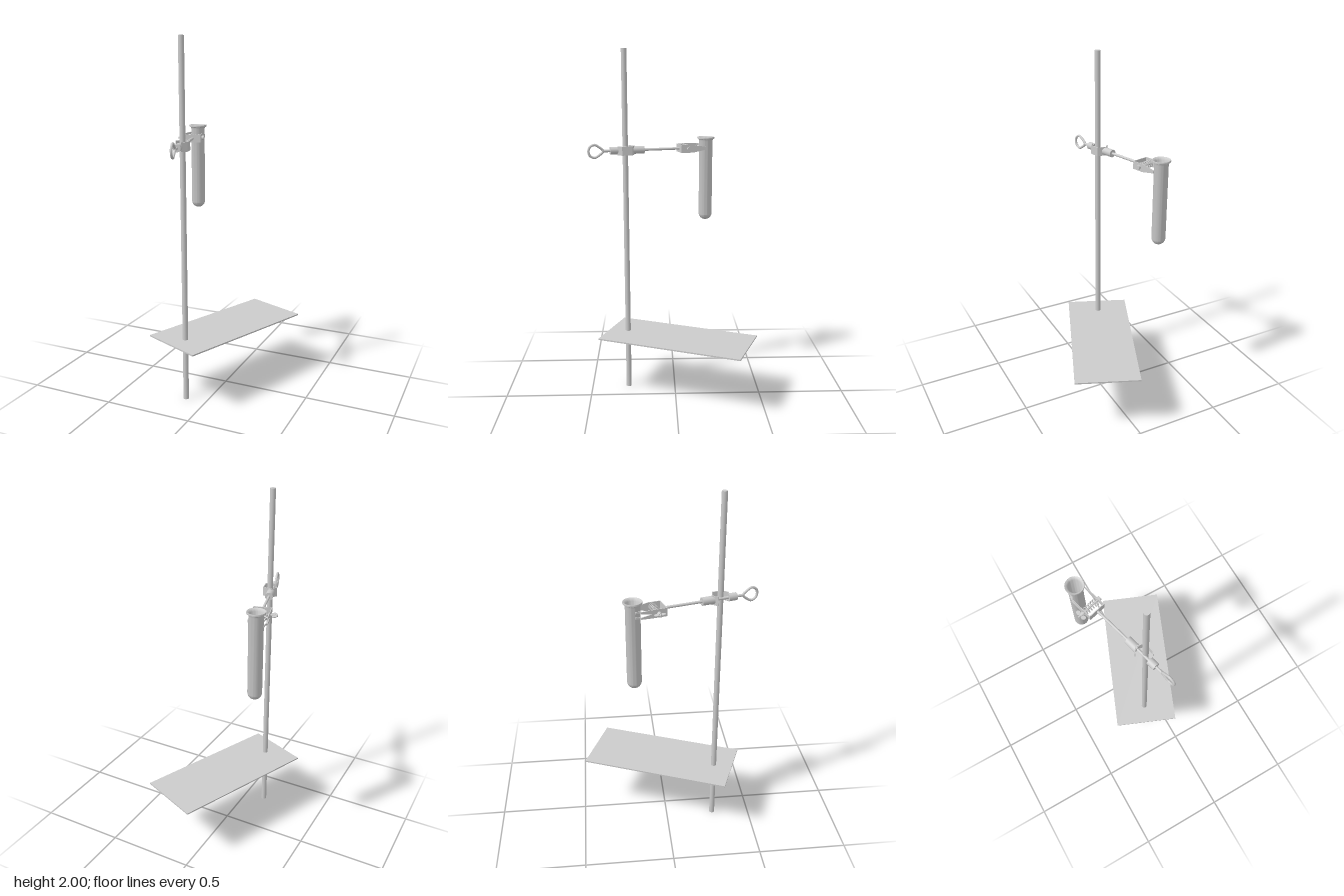
import * as THREE from 'three';
import { toCreasedNormals } from 'three/addons/utils/BufferGeometryUtils.js';

const material = new THREE.MeshStandardMaterial({ color: 0xcccccc, side: THREE.DoubleSide });

function add(parent, name, geometry, x = 0, y = 0, z = 0) {
  const mesh = new THREE.Mesh(geometry, material);
  mesh.name = name;
  mesh.position.set(x, y, z);
  parent.add(mesh);
  return mesh;
}

const v2 = (list) => list.map(([x, y]) => new THREE.Vector2(x, y));

// Cylinder lying along z between two stations
function rodZ(parent, name, radius, z0, z1, sides = 20) {
  const g = new THREE.CylinderGeometry(radius, radius, Math.abs(z1 - z0), sides).rotateX(Math.PI / 2);
  return add(parent, name, g, 0, 0, (z0 + z1) / 2);
}

// Bent metal strip: plan path [x, z] given a thickness and a height
function strip(path, thickness, height) {
  const pts = v2(path);
  const normals = pts.map((p, i) => {
    const a = pts[Math.max(i - 1, 0)], b = pts[Math.min(i + 1, pts.length - 1)];
    return new THREE.Vector2(a.y - b.y, b.x - a.x).normalize().multiplyScalar(thickness / 2);
  });
  const outline = [
    ...pts.map((p, i) => p.clone().add(normals[i])),
    ...pts.map((p, i) => p.clone().sub(normals[i])).reverse(),
  ];
  return new THREE.ExtrudeGeometry(new THREE.Shape(outline), { depth: height, bevelEnabled: false })
    .translate(0, 0, -height / 2).rotateX(Math.PI / 2);
}

// Flat jaw: side profile [reach, y] given a thickness along x
function jawPlate(profile, thickness) {
  return new THREE.ExtrudeGeometry(new THREE.Shape(v2(profile)), { depth: thickness, bevelEnabled: false })
    .translate(0, 0, -thickness / 2).rotateY(Math.PI / 2);
}

function buildBossHead(arm) {
  const boss = new THREE.Group();
  boss.name = 'bossHead';
  rodZ(boss, 'frontCollar', 0.021, 0.042, 0.088);
  rodZ(boss, 'rearCollar', 0.022, -0.109, -0.041);
  const path = [[-0.03, -0.028], [-0.002, -0.052], [0.044, -0.03], [0.041, 0.027], [0.013, 0.047]];
  add(boss, 'hookBracket', strip(path, 0.005, 0.05));
  arm.add(boss);
}

function buildPullRing(arm) {
  const pts = [[0, 0.128], [0.022, 0.15], [0.036, 0.178], [0.024, 0.203], [0, 0.211],
    [-0.024, 0.203], [-0.036, 0.178], [-0.022, 0.15]].map(([y, z]) => new THREE.Vector3(0, y, z));
  const curve = new THREE.CatmullRomCurve3(pts, true);
  add(arm, 'pullRing', new THREE.TubeGeometry(curve, 64, 0.007, 10, true));
}

function buildJaws(arm) {
  const jaws = new THREE.Group();
  jaws.name = 'jaws';
  add(jaws, 'backPlate', new THREE.BoxGeometry(0.098, 0.045, 0.004), -0.004, 0, -0.322);
  // Plain jaw on one side, forked jaw on the other
  const plain = [[0.32, -0.0225], [0.39, -0.0225], [0.47, -0.008], [0.47, 0.008], [0.39, 0.0225], [0.32, 0.0225]];
  const forked = [[0.32, -0.0225], [0.39, -0.0225], [0.458, -0.02], [0.458, -0.01], [0.395, 0],
    [0.458, 0.01], [0.458, 0.02], [0.39, 0.0225], [0.32, 0.0225]];
  add(jaws, 'plainJaw', jawPlate(plain, 0.004), 0.043);
  add(jaws, 'forkedJaw', jawPlate(forked, 0.004), -0.052);
  // Fingertips curling against the tube
  const tip = [[-0.052, -0.44], [-0.05, -0.452], [-0.042, -0.462], [-0.041, -0.485]];
  for (const y of [-0.015, 0.015]) add(jaws, 'forkTip', strip(tip, 0.004, 0.01), 0, y);

  // Tightening screw with its spring
  const zs = -0.366;
  add(jaws, 'screw', new THREE.CylinderGeometry(0.006, 0.006, 0.145, 16).rotateZ(Math.PI / 2), -0.018, 0, zs);
  add(jaws, 'screwHead', new THREE.CylinderGeometry(0.013, 0.013, 0.012, 16).rotateZ(Math.PI / 2), 0.052, 0, zs);
  const coil = [];
  const turns = 6;
  for (let i = 0; i <= turns * 12; i++) {
    const a = i / 12 * Math.PI * 2;
    coil.push(new THREE.Vector3(-0.048 + 0.088 * i / (turns * 12), 0.018 * Math.cos(a), 0.018 * Math.sin(a)));
  }
  add(jaws, 'spring', new THREE.TubeGeometry(new THREE.CatmullRomCurve3(coil), 180, 0.003, 6), 0, 0, zs);

  // Wing nut
  const nut = new THREE.Group();
  nut.name = 'wingNut';
  nut.position.set(-0.068, 0, zs);
  add(nut, 'nutHub', new THREE.CylinderGeometry(0.009, 0.012, 0.018, 16).rotateZ(Math.PI / 2));
  for (const s of [-1, 1]) {
    const wing = add(nut, 'wing', new THREE.CylinderGeometry(0.011, 0.011, 0.005, 16), -0.006, 0, s * 0.018);
    wing.scale.z = 1.2;
    wing.rotation.y = s * 0.4;
  }
  jaws.add(nut);
  arm.add(jaws);
}

function testTubeGeometry() {
  const r = 0.039, wall = 0.004, profile = [];
  const arc = (radius, from, to) => {
    for (let i = 0; i <= 10; i++) {
      const a = from + (to - from) * i / 10;
      profile.push([Math.max(0, radius * Math.sin(a)), r - radius * Math.cos(a)]);
    }
  };
  arc(r, 0, Math.PI / 2);
  profile.push([r, 0.468], [0.042, 0.478], [0.05, 0.482], [0.051, 0.487], [0.049, 0.492], [0.043, 0.49], [r - wall, 0.478]);
  arc(r - wall, Math.PI / 2, 0);
  return toCreasedNormals(new THREE.LatheGeometry(v2(profile), 40), 0.7);
}

export function createModel() {
  const model = new THREE.Group();
  model.name = 'clampStand';

  // Base plate and upright
  const base = add(model, 'basePlate', new THREE.BoxGeometry(0.368, 0.008, 0.854), 0, 0.356, -0.015);
  base.rotation.y = -0.39;
  add(model, 'upright', new THREE.CylinderGeometry(0.0155, 0.0155, 2, 24), -0.122, 1, 0.28);

  // Clamp arm, reaching back along its local -z
  const arm = new THREE.Group();
  arm.name = 'clampArm';
  arm.position.set(-0.135, 1.44, 0.28);
  arm.rotation.y = 0.267;
  rodZ(arm, 'armRod', 0.0075, -0.322, 0.134);
  buildBossHead(arm);
  buildPullRing(arm);
  buildJaws(arm);
  model.add(arm);

  // Test tube held in the jaws
  add(model, 'testTube', testTubeGeometry(), -0.263, 1.01, -0.187);
  return model;
}
